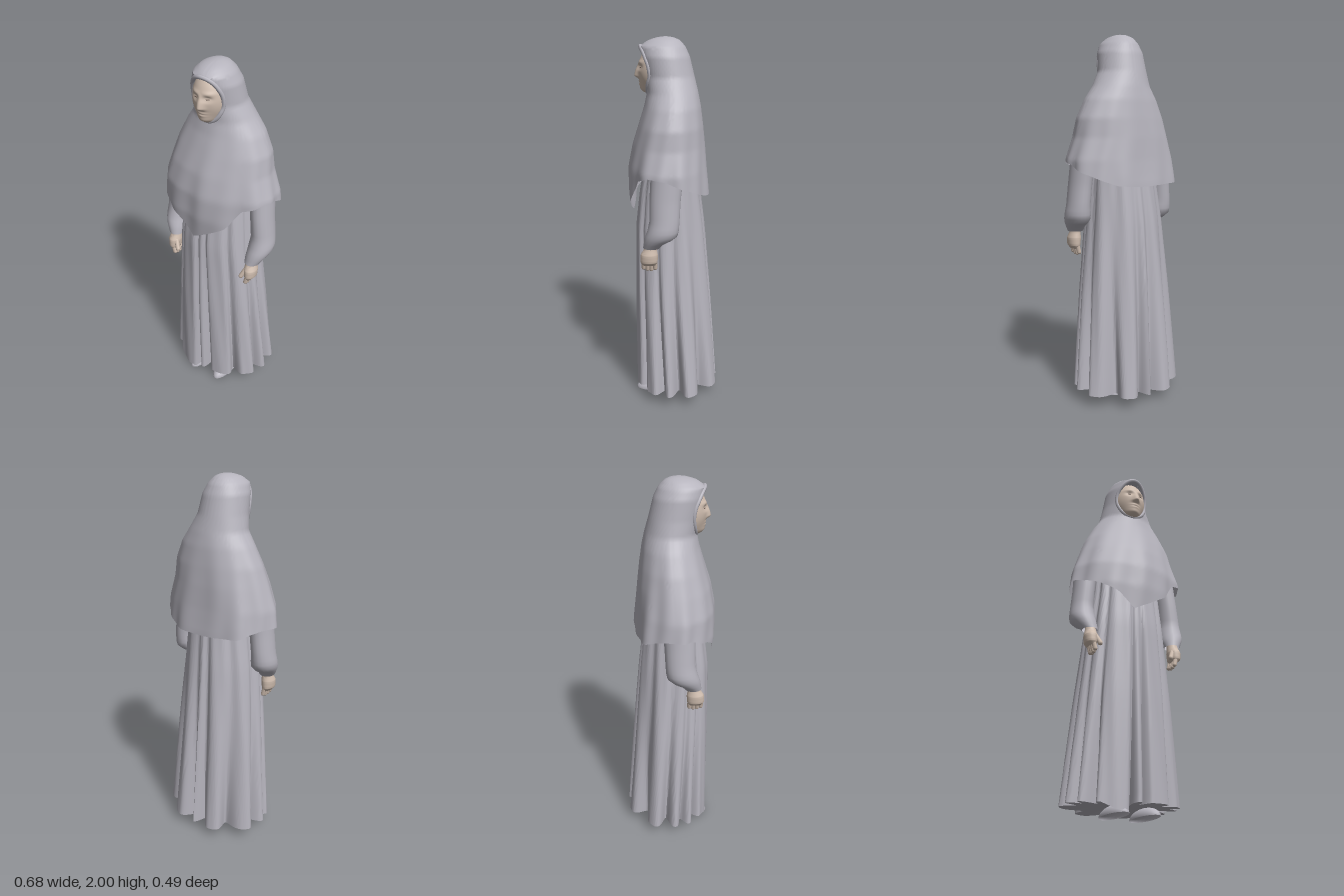
import * as THREE from 'three';
import { toCreasedNormals } from 'three/addons/utils/BufferGeometryUtils.js';

const mat = (name, color, side = THREE.FrontSide) => {
  const m = new THREE.MeshStandardMaterial({ color, side });
  m.name = name;
  return m;
};
const gauss = (x, w) => Math.exp(-(x * x) / (w * w));
const DEG = Math.PI / 180;

// Linear lookup in rows sorted by their first column; returns the other columns
function lookup(rows, k) {
  let i = 0;
  while (i < rows.length - 2 && (k - rows[i + 1][0]) * (rows[1][0] - rows[0][0]) > 0) i++;
  const a = rows[i], b = rows[i + 1];
  const t = Math.min(1, Math.max(0, (k - a[0]) / (b[0] - a[0])));
  return a.slice(1).map((n, j) => n + (b[j + 1] - n) * t);
}

// Closed loops of points from top to bottom: f(angle, v), angle 0 = front, 90 = model's left
function loft(seg, rows, f, crease = 0.9) {
  const pos = [], idx = [];
  for (let j = 0; j <= rows; j++) {
    for (let i = 0; i < seg; i++) {
      let t = (i / seg) * 360;
      if (t > 180) t -= 360;
      pos.push(...f(t, j / rows));
    }
  }
  for (let j = 0; j < rows; j++) {
    for (let i = 0; i < seg; i++) {
      const a = j * seg + i, b = j * seg + (i + 1) % seg, c = a + seg, d = b + seg;
      idx.push(a, c, b, b, c, d);
    }
  }
  const g = new THREE.BufferGeometry();
  g.setAttribute('position', new THREE.Float32BufferAttribute(pos, 3));
  g.setIndex(idx);
  return toCreasedNormals(g, crease);
}

// Point on a squarish oval given its limits [xMin, xMax, zBack, zFront]
function oval([x0, x1, z0, z1], t, k = 1, pow = 2) {
  const s = Math.sin(t * DEG), c = Math.cos(t * DEG);
  const p = (n) => Math.sign(n) * Math.pow(Math.abs(n), 2 / pow);
  return [(x0 + x1) / 2 + (x1 - x0) / 2 * p(s) * k, (z0 + z1) / 2 + (z1 - z0) / 2 * p(c) * k];
}

// Limits by height: y, xMin, xMax, zBack, zFront
const VEIL = [
  [2.0, -0.008, -0.007, 0.044, 0.045], [1.994, -0.045, 0.03, 0.0, 0.09], [1.98, -0.078, 0.058, -0.03, 0.135],
  [1.95, -0.11, 0.09, -0.058, 0.178], [1.9, -0.13, 0.115, -0.082, 0.172], [1.8, -0.14, 0.13, -0.107, 0.15],
  [1.72, -0.155, 0.178, -0.128, 0.14], [1.65, -0.2, 0.23, -0.143, 0.155], [1.55, -0.25, 0.275, -0.157, 0.186],
  [1.45, -0.285, 0.29, -0.168, 0.218], [1.33, -0.325, 0.33, -0.178, 0.243], [1.2, -0.342, 0.338, -0.192, 0.247],
  [1.07, -0.342, 0.338, -0.192, 0.235],
];
const VEIL_HEM = [[-180, 1.19], [-140, 1.2], [-110, 1.24], [-75, 1.24], [-45, 1.2], [-25, 1.15], [-9, 1.065],
  [8, 1.11], [28, 1.18], [45, 1.29], [65, 1.32], [90, 1.31], [125, 1.25], [155, 1.2], [180, 1.19]];
const ROBE = [
  [1.5, -0.17, 0.17, -0.11, 0.13], [1.2, -0.2, 0.195, -0.145, 0.185], [1.0, -0.23, 0.212, -0.17, 0.208],
  [0.6, -0.272, 0.255, -0.208, 0.215], [0.04, -0.318, 0.308, -0.262, 0.216],
];
const ROBE_HEM = [[-180, 0.05], [-90, 0.06], [-38, 0.045], [-22, 0.01], [-12, 0.012], [-7, 0.05], [90, 0.07], [180, 0.05]];
// Fold angle, width and depth at the hem
const PLEATS = [
  [-8, 2.6, 0.28], [4, 2.6, 0.28], [39, 5, 0.2], [-50, 5, 0.2], [72, 5, 0.14], [-72, 5, 0.14],
  [95, 6, 0.2], [-95, 6, 0.2], [135, 11, 0.26], [-135, 11, 0.26], [172, 5.5, 0.3], [-172, 5.5, 0.3],
];
// Arm on the model's left: y, x, z, rx, rz
const SLEEVE = [
  [1.54, 0.17, 0.0, 0.05, 0.06], [1.36, 0.245, 0.02, 0.062, 0.085], [1.2, 0.262, 0.033, 0.058, 0.08],
  [1.09, 0.272, 0.036, 0.06, 0.078], [1.03, 0.272, 0.045, 0.068, 0.082], [1.0, 0.268, 0.057, 0.064, 0.084],
  [0.975, 0.26, 0.088, 0.054, 0.056], [0.94, 0.251, 0.106, 0.04, 0.044],
];
const HAND = [
  [0.97, 0.25, 0.105, 0.024, 0.028], [0.93, 0.25, 0.112, 0.03, 0.034], [0.9, 0.252, 0.118, 0.036, 0.046],
  [0.86, 0.252, 0.12, 0.032, 0.046], [0.84, 0.25, 0.12, 0.014, 0.034],
];

const limb = (rows) => loft(20, 24, (t, v) => {
  const y = rows[0][0] + (rows[rows.length - 1][0] - rows[0][0]) * v;
  const [x, z, rx, rz] = lookup(rows, y);
  return [x + rx * Math.sin(t * DEG), y, z + rz * Math.cos(t * DEG)];
});

// Front surface of the veil around the face
function veilZ(x, y) {
  const [x0, x1, z0, z1] = lookup(VEIL, y);
  const u = (2 * x - x0 - x1) / (x1 - x0);
  return (z0 + z1) / 2 + (z1 - z0) / 2 * Math.sqrt(Math.max(0, 1 - u * u));
}

// Relief of the face over an ellipsoid
function relief(x, y) {
  const ax = Math.abs(x);
  const ridge = y > 1.8 ? 0.025 - (y - 1.8) * 0.35 : 0.025 - (1.8 - y) * 1.5;
  return Math.max(0, ridge) * gauss(x, 0.016 + Math.max(0, 1.85 - y) * 0.1)
    - 0.012 * gauss(ax - 0.034, 0.02) * gauss(y - 1.847, 0.012)
    + 0.005 * gauss(ax - 0.034, 0.014) * gauss(y - 1.844, 0.006)
    + 0.005 * gauss(ax - 0.036, 0.03) * gauss(y - 1.872, 0.01)
    + 0.01 * gauss(x, 0.03) * gauss(y - 1.766, 0.016)
    - 0.006 * gauss(x, 0.024) * gauss(y - 1.766, 0.004)
    + 0.024 * gauss(x, 0.05) * gauss(y - 1.728, 0.026);
}
const FACE = { x: -0.01, y: 1.83, z: 0.07, rx: 0.098, ry: 0.138, rz: 0.117 };
const faceZ = (x, y) => FACE.z + relief(x, y)
  + FACE.rz * Math.sqrt(Math.max(0, 1 - (x / FACE.rx) ** 2 - ((y - FACE.y) / FACE.ry) ** 2));

export function createModel() {
  const cloth = mat('grey cloth', 0xb6b4bd, THREE.DoubleSide);
  const skin = mat('skin', 0xcfbdaf);
  const dark = mat('eye brown', 0x75645b);
  const model = new THREE.Group();
  const add = (name, geo, material, parent = model) => {
    const m = new THREE.Mesh(geo, material);
    m.name = name;
    parent.add(m);
    return m;
  };

  // Head veil falling into a pointed cape, pushed in behind the face
  add('veil', loft(120, 56, (t, v) => {
    const y = 2 - (2 - lookup(VEIL_HEM, t)[0]) * Math.pow(v, 1.25);
    const loose = Math.min(1, Math.max(0, (1.75 - y) / 0.5));
    const fold = 0.02 * Math.cos(7 * t * DEG + 1 + y * 3) + 0.015 * Math.cos(13 * t * DEG - y * 5);
    const c = Math.cos(t * DEG);
    const pow = 2 + loose * (c < 0 ? -0.4 * c : -0.15 * c);
    const [x, z] = oval(lookup(VEIL, y), t, 1 + loose * (fold - 0.015), pow);
    const opening = c > 0 && ((x - FACE.x) / 0.086) ** 2 + ((y - 1.832) / 0.11) ** 2 < 1;
    return [x, y, opening ? z - 0.06 : z];
  }, 0.7), cloth);

  // Soft edge of the veil around the face
  const rim = [];
  for (let i = 0; i < 24; i++) {
    const a = (i / 24) * Math.PI * 2;
    const x = FACE.x + 0.09 * Math.cos(a), y = 1.832 + 0.118 * Math.sin(a);
    rim.push(new THREE.Vector3(x, y, veilZ(x, y) - 0.003));
  }
  add('veilEdge', new THREE.TubeGeometry(new THREE.CatmullRomCurve3(rim, true), 64, 0.011, 8, true), cloth);

  // Pleated robe, with the hem gathered inward underneath
  add('robe', loft(240, 31, (t, v) => {
    const hem = lookup(ROBE_HEM, t)[0];
    const w = Math.min(1, v * 31 / 30);
    const inner = v === 1;
    const y = inner ? 0.1 : 1.5 - (1.5 - hem) * w;
    let pleat = 0;
    for (const [angle, width, depth] of PLEATS) {
      const d = ((t - angle + 540) % 360) - 180;
      pleat = Math.max(pleat, gauss(d, width) * (0.05 + depth * w * w));
    }
    const k = inner ? 0.02 : 1 - pleat + 0.01 * Math.cos(t * DEG * 17 + y * 4);
    const [x, z] = oval(lookup(ROBE, y), t, k, 2.15);
    return [x, y, z];
  }), cloth);

  // Face with sculpted nose, eye sockets, lips and chin
  const face = new THREE.SphereGeometry(1, 96, 96);
  const p = face.attributes.position;
  for (let i = 0; i < p.count; i++) {
    const x = p.getX(i) * FACE.rx, y = FACE.y + p.getY(i) * FACE.ry, z = p.getZ(i);
    p.setXYZ(i, FACE.x + x, y, FACE.z + z * FACE.rz + (z > 0 ? relief(x, y) * Math.min(1, z * 2) : 0));
  }
  face.computeVertexNormals();
  add('face', face, skin);
  for (const x of [-0.034, 0.034]) {
    const eye = add('eye', new THREE.SphereGeometry(1, 16, 8), dark);
    eye.scale.set(0.012, 0.0025, 0.003);
    eye.position.set(FACE.x + x, 1.845, faceZ(x, 1.845));
    eye.rotation.y = Math.atan2(x, 0.1);
  }

  // Arms, hands and shoes, mirrored
  for (const [side, s] of [['left', 1], ['right', -1]]) {
    const arm = new THREE.Group();
    arm.name = side + 'Arm';
    arm.scale.x = s;
    model.add(arm);
    add('sleeve', limb(SLEEVE), cloth, arm);
    add('palm', limb(HAND), skin, arm);
    for (let i = 0; i < 4; i++) {
      const bend = Math.abs(i - 1.4);
      const f = add('finger', new THREE.CapsuleGeometry(0.0125, 0.05 - bend * 0.006, 4, 8), skin, arm);
      f.position.set(0.243, 0.836 + bend * 0.004, 0.089 + i * 0.02);
      f.rotation.z = -0.25;
    }
    const thumb = add('thumb', new THREE.CapsuleGeometry(0.013, 0.05, 4, 8), skin, arm);
    thumb.position.set(0.222, 0.878, 0.147);
    thumb.rotation.set(-0.35, 0, -0.4);

    const shoe = new THREE.SphereGeometry(1, 24, 10, 0, Math.PI * 2, 0, Math.PI / 2);
    const foot = add(side + 'Shoe', shoe, cloth);
    foot.scale.set(0.052, 0.05, 0.13);
    foot.position.set(s > 0 ? 0.075 : -0.095, 0, 0.085);
  }
  return model;
}
